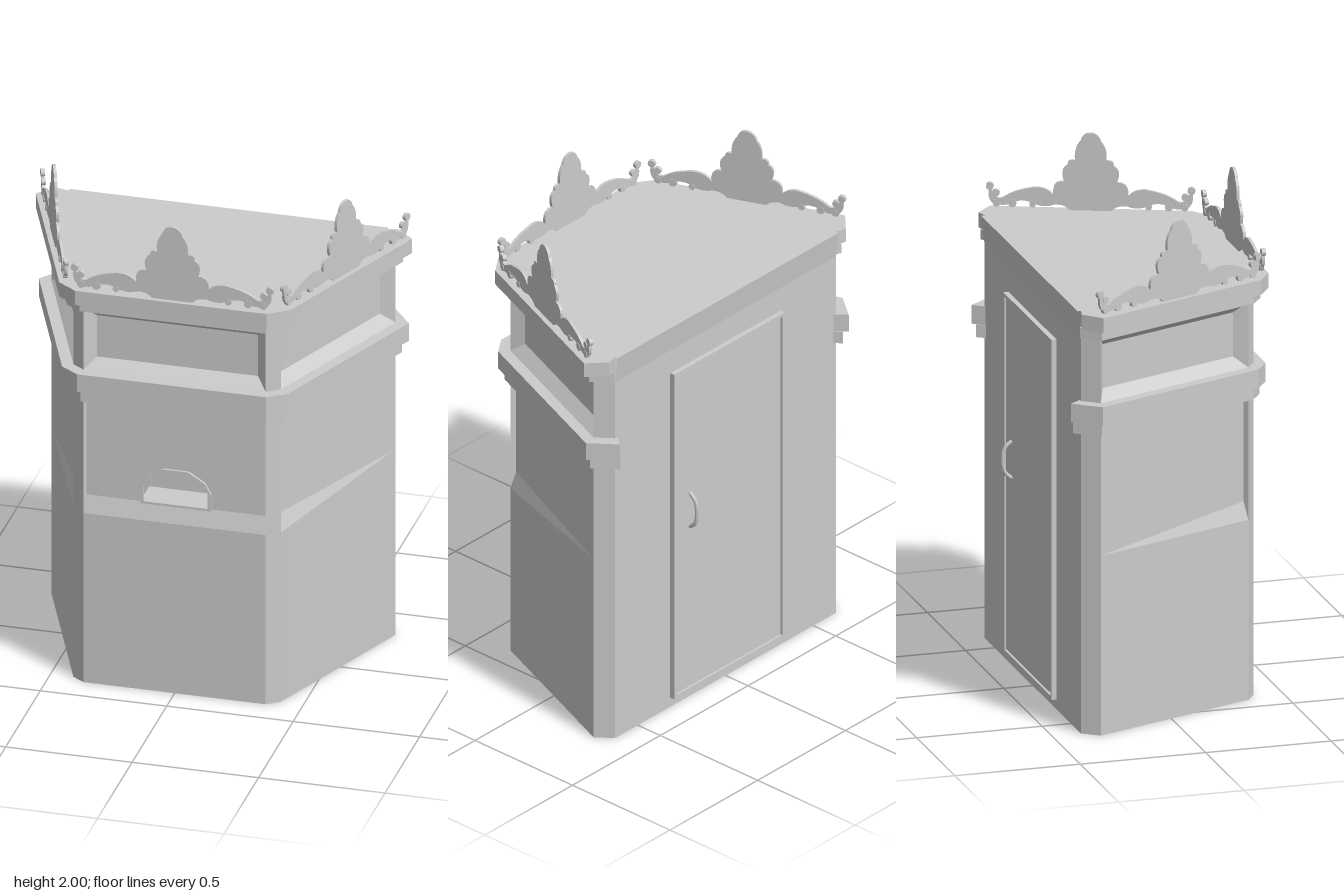
import * as THREE from 'three';

const mat = new THREE.MeshStandardMaterial({ color: 0xcccccc, side: THREE.DoubleSide });
const V2 = (x, y) => new THREE.Vector2(x, y);

// Plan of the booth (x, z): back left corner, round the front, to the other back corner
const right = [[0.36, 0.385], [0.41, 0.35], [0.68, -0.32], [0.63, -0.385]];
const plan = [...right.map(([x, z]) => V2(-x, z)).reverse(), ...right.map(([x, z]) => V2(x, z))];

function add(parent, name, geometry) {
  const mesh = new THREE.Mesh(geometry, mat);
  mesh.name = name;
  parent.add(mesh);
  return mesh;
}

// Quads given as four corners, counter-clockwise from outside
function quads(list) {
  const pos = list.flatMap(([a, b, c, d]) => [a, b, c, a, c, d]).flat();
  const g = new THREE.BufferGeometry();
  g.setAttribute('position', new THREE.Float32BufferAttribute(pos, 3));
  g.computeVertexNormals();
  return g;
}

// Plan line moved outward with mitred corners; the ends run on by "extend"
function offsetPlan(o, extend = 0) {
  const dir = plan.slice(1).map((p, i) => p.clone().sub(plan[i]).normalize());
  const normal = dir.map(d => V2(-d.y, d.x));
  return plan.map((p, i) => {
    const a = normal[Math.max(i - 1, 0)], b = normal[Math.min(i, normal.length - 1)];
    const q = p.clone().addScaledVector(a.clone().add(b), o / (1 + a.dot(b)));
    if (i === 0) q.addScaledVector(dir[0], -extend);
    if (i === plan.length - 1) q.addScaledVector(dir[i - 1], extend);
    return q;
  });
}

// Flat slab of a plan outline between two heights
function slab(points, y0, y1) {
  const shape = new THREE.Shape(points.map(p => V2(p.x, -p.y)));
  return new THREE.ExtrudeGeometry(shape, { depth: y1 - y0, bevelEnabled: false })
    .rotateX(-Math.PI / 2).translate(0, y0, 0);
}

// Arched ticket opening, s shrinks it for the inner edge of the frame
function archPoints(cx, y, s = 1) {
  const half = [[0.14, 0], [0.14, 0.07], [0.115, 0.115], [0.05, 0.155]];
  return [...half, ...half.map(([x, h]) => [-x, h]).reverse()].map(([x, h]) => V2(cx + x * s, y + h * s));
}

const RECESS = 0.022;

// One wall in local axes: x along the wall, y up, z outward.
// The upper panel sinks by d0 at the start of the wall and d1 at its end.
function wall(length, d0, d1, withWindow) {
  const g = new THREE.Group();
  const rect = (y0, y1) => [[0, y0, 0], [length, y0, 0], [length, y1, 0], [0, y1, 0]];
  add(g, 'wallFace', quads([rect(0, 0.72), rect(1.205, 1.33), rect(1.59, 1.66)]));

  // Recessed panel with sloping reveals
  const panel = (name, y0, y1, side, low, high, a, b, hole) => {
    const sink = x => -(a + (b - a) * x / length);
    const o = rect(y0, y1);
    const n = [[side, y0 + low], [length - side, y0 + low], [length - side, y1 - high], [side, y1 - high]];
    const inner = n.map(([x, y]) => [x, y, sink(x)]);
    add(g, name + 'Reveal', quads(o.map((p, i) => [p, o[(i + 1) % 4], inner[(i + 1) % 4], inner[i]])));
    const shape = new THREE.Shape(n.map(([x, y]) => V2(x, y)));
    if (hole) shape.holes.push(new THREE.Path(hole));
    const face = new THREE.ShapeGeometry(shape);
    const p = face.attributes.position;
    for (let i = 0; i < p.count; i++) p.setZ(i, sink(p.getX(i)));
    face.computeVertexNormals();
    add(g, name, face);
  };
  const hole = withWindow ? archPoints(length / 2, 0.795, 0.91) : null;
  panel('upperPanel', 0.72, 1.205, 0.006, 0.07, 0.001, d0, d1, hole);
  panel('friezePanel', 1.33, 1.59, 0.042, 0.042, 0.042, 0.042, 0.042);

  if (withWindow) {
    const ring = new THREE.Shape(archPoints(length / 2, 0.785));
    ring.holes.push(new THREE.Path(hole));
    add(g, 'windowFrame', new THREE.ExtrudeGeometry(ring, { depth: 0.01, bevelEnabled: false }))
      .position.z = -RECESS;
    add(g, 'windowShelf', new THREE.BoxGeometry(0.28, 0.01, 0.12))
      .position.set(length / 2, 0.789, -RECESS - 0.062);
  }
  return g;
}

// Carved crest: scalloped crown with scrolling arms, symmetrical about x = 0
function crest() {
  const g = new THREE.Group();
  // each step: control point, end point
  const half = [
    [0.03, 0.31, 0.04, 0.275], [0.065, 0.25, 0.06, 0.2], [0.09, 0.205, 0.088, 0.18],
    [0.12, 0.165, 0.102, 0.115], [0.15, 0.115, 0.143, 0.06], [0.17, 0.092, 0.215, 0.088],
    [0.29, 0.075, 0.325, 0.05], [0.35, 0.03, 0.37, 0.055], [0.38, 0.08, 0.39, 0.08],
    [0.4, 0.015, 0.35, 0.015], [0.32, 0.01, 0.285, 0.03], [0.25, 0.04, 0.215, 0.022],
    [0.18, 0.005, 0.14, 0.02], [0.1, 0.025, 0.08, 0.0]];
  const shape = new THREE.Shape();
  shape.moveTo(0, 0.31);
  half.forEach(s => shape.quadraticCurveTo(...s));
  shape.lineTo(-0.08, 0);
  for (let i = half.length - 1; i >= 0; i--) {
    const end = i ? half[i - 1].slice(2) : [0, 0.31];
    shape.quadraticCurveTo(-half[i][0], half[i][1], -end[0], end[1]);
  }
  add(g, 'crestPlate', new THREE.ExtrudeGeometry(shape, { depth: 0.012, bevelEnabled: false, curveSegments: 5 }))
    .position.z = -0.006;
  // Curled scroll ends
  const curls = [[0.386, 0.088, 0.015], [0.362, 0.062, 0.014], [0.36, 0.022, 0.015], [0.3, 0.022, 0.016], [0.222, 0.02, 0.013]];
  for (const s of [-1, 1]) for (const [x, y, r] of curls) {
    add(g, 'crestCurl', new THREE.CylinderGeometry(r, r, 0.016, 12).rotateX(Math.PI / 2)).position.set(s * x, y, 0);
  }
  return g;
}

export function createModel() {
  const model = new THREE.Group();
  model.name = 'ticketBooth';

  // Walls and the narrow corner posts between them; side panels run out flush at the back
  const walls = { 1: ['rightWall', 0, RECESS], 3: ['frontWall', RECESS, RECESS], 5: ['leftWall', RECESS, 0] };
  for (let i = 0; i < plan.length - 1; i++) {
    const a = plan[i], d = plan[i + 1].clone().sub(a), length = d.length();
    let part;
    if (walls[i]) {
      const [name, d0, d1] = walls[i];
      part = wall(length, d0, d1, i === 3);
      part.name = name;
    } else {
      part = new THREE.Group();
      add(part, 'postFace', quads([[[0, 0, 0], [length, 0, 0], [length, 1.66, 0], [0, 1.66, 0]]]));
      part.name = 'cornerPost';
    }
    part.position.set(a.x, 0, a.y);
    part.rotation.y = -Math.atan2(d.y, d.x);
    model.add(part);
  }

  // Back wall, flaring slightly outward to meet the roof edge
  const back = [[0, -0.385], [1.58, -0.385], [1.69, -0.398], [1.69, -0.38]];
  add(model, 'backWall', quads(back.slice(1).map(([y, z], i) => {
    const [yl, zl] = back[i];
    return [[0.63, yl, zl], [-0.63, yl, zl], [-0.63, y, z], [0.63, y, z]];
  })));

  // Stepped lower cornice, a band open to the inside
  for (const [o, y0, y1] of [[0.022, 1.205, 1.255], [0.045, 1.255, 1.33]]) {
    const band = [...offsetPlan(o, 0.023), ...offsetPlan(-0.045).reverse()];
    add(model, 'lowerCornice', slab(band, y0, y1));
  }
  // Stepped upper cornice, closing the roof
  for (const [o, y0, y1] of [[0.026, 1.59, 1.63], [0.056, 1.63, 1.69]]) {
    const ends = offsetPlan(o).map(p => V2(p.x, Math.max(p.y, -0.395)));
    const roof = [...ends, V2(0.63, -0.384), V2(-0.63, -0.384)];
    add(model, o > 0.03 ? 'roofCornice' : 'upperCornice', slab(roof, y0, y1));
  }

  // Crests above the three walls
  for (const [x, z, turn] of [[0, 0.416, 0], [0.575, 0.022, 1.188], [-0.575, 0.022, -1.188]]) {
    const c = crest();
    c.name = 'crest';
    c.position.set(x, 1.69, z);
    c.rotation.y = turn;
    model.add(c);
  }

  // Back door: frame, leaf and bow handle
  const rect = (w, y0, y1) => [V2(-w, y0), V2(w, y0), V2(w, y1), V2(-w, y1)];
  const frame = new THREE.Shape(rect(0.315, 0.04, 1.48));
  frame.holes.push(new THREE.Path(rect(0.301, 0.054, 1.466)));
  add(model, 'doorFrame', new THREE.ExtrudeGeometry(frame, { depth: 0.022, bevelEnabled: false })).position.z = -0.406;
  add(model, 'door', new THREE.BoxGeometry(0.592, 1.402, 0.02)).position.set(0, 0.76, -0.391);
  const bow = new THREE.CatmullRomCurve3([[0.765, -0.4], [0.79, -0.428], [0.84, -0.437], [0.89, -0.428], [0.915, -0.4]]
    .map(([y, z]) => new THREE.Vector3(0.22, y, z)));
  add(model, 'doorHandle', new THREE.TubeGeometry(bow, 12, 0.008, 8));

  return model;
}
